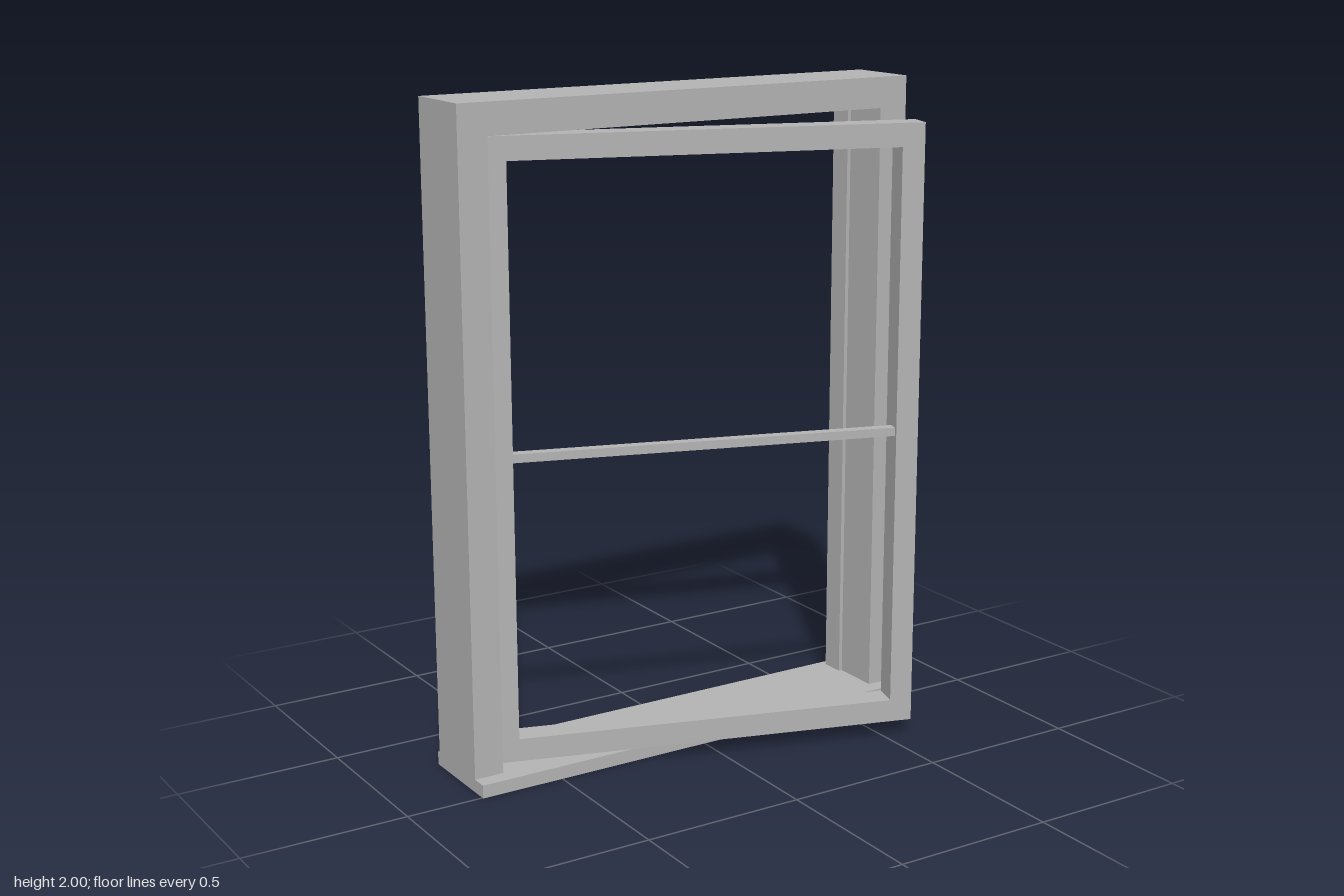
import * as THREE from 'three';

const paint = new THREE.MeshStandardMaterial({ color: 0xb4b4b4 });
paint.name = 'grey paint';

// Box given by its minimum and maximum corners
function box(name, [x0, y0, z0], [x1, y1, z1]) {
  const mesh = new THREE.Mesh(new THREE.BoxGeometry(x1 - x0, y1 - y0, z1 - z0), paint);
  mesh.position.set((x0 + x1) / 2, (y0 + y1) / 2, (z0 + z1) / 2);
  mesh.name = name;
  return mesh;
}

function rectangle(path, x0, y0, x1, y1) {
  path.moveTo(x0, y0);
  path.lineTo(x1, y0);
  path.lineTo(x1, y1);
  path.lineTo(x0, y1);
  path.closePath();
  return path;
}

export function createModel() {
  const model = new THREE.Group();
  model.name = 'openWindow';

  // Fixed frame: two jambs joined by a head, open at the bottom
  const outline = new THREE.Shape();
  const points = [[-0.762, 0.04], [-0.67, 0.04], [-0.67, 1.906], [0.666, 1.906],
    [0.666, 0.04], [0.762, 0.04], [0.762, 2], [-0.762, 2]];
  outline.setFromPoints(points.map(([x, y]) => new THREE.Vector2(x, y)));
  const frame = new THREE.Mesh(
    new THREE.ExtrudeGeometry(outline, { depth: 0.236, bevelEnabled: false }), paint);
  frame.position.z = -0.281;
  frame.name = 'fixedFrame';
  model.add(frame);

  // Sill projecting past the frame at front and back
  model.add(box('sill', [-0.762, 0, -0.292], [0.762, 0.04, 0.005]));

  // Narrow stops on the inner faces of the jambs
  model.add(box('rightStop', [-0.675, 0.04, -0.27], [-0.66, 1.906, -0.195]));
  model.add(box('leftStop', [0.654, 0.04, -0.27], [0.67, 1.906, -0.195]));

  // Sash swung outward on its hinge edge
  const sash = new THREE.Group();
  sash.name = 'sash';
  const width = 1.302, depth = 0.084, rail = 0.069;
  const shape = rectangle(new THREE.Shape(), 0, 0.05, width, 1.9);
  shape.holes.push(rectangle(new THREE.Path(), rail, 0.12, width - rail, 1.83));
  const sashFrame = new THREE.Mesh(
    new THREE.ExtrudeGeometry(shape, { depth, bevelEnabled: false }), paint);
  sashFrame.position.z = -depth;
  sashFrame.name = 'sashFrame';
  sash.add(sashFrame);

  // Glazing bar across the middle of the sash
  sash.add(box('glazingBar', [rail, 0.962, -0.045], [width - rail, 0.988, -0.012]));
  sash.position.set(-0.665, 0, -0.095);
  sash.rotation.y = -THREE.MathUtils.degToRad(17);
  model.add(sash);

  return model;
}
